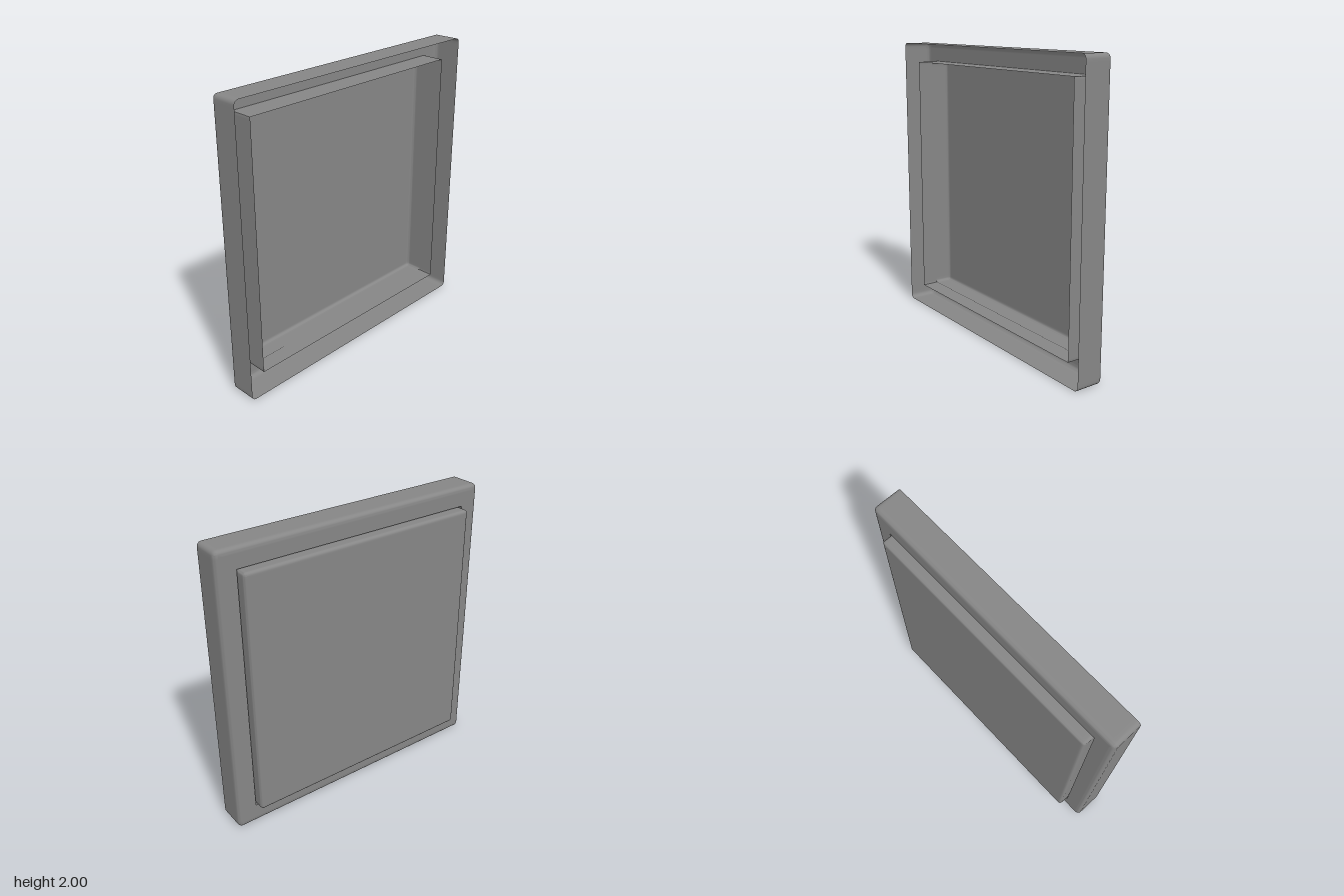
import * as THREE from 'three';
import { toCreasedNormals } from 'three/addons/utils/BufferGeometryUtils.js';

const ARC = 6; // segments per rounded corner
const SHARP = 0.001; // corner radius of a square corner

// Rounded square in the z-y plane; every ring has the same point count
function ring(x, half, radius) {
  const pts = [];
  const guard = Math.min(0.02, half / 2); // keeps the flat sides evenly shaded
  const c = half - radius;
  for (let k = 0; k < 4; k++) {
    const corner = [[half, c - guard]];
    for (let i = 0; i <= ARC; i++) {
      const a = (i / ARC) * Math.PI / 2;
      corner.push([c + radius * Math.cos(a), c + radius * Math.sin(a)]);
    }
    corner.push([c - guard, half]);
    // Quarter turns
    const co = [1, 0, -1, 0][k], si = [0, 1, 0, -1][k];
    for (const [z, y] of corner) {
      pts.push(new THREE.Vector3(x, z * si + y * co, z * co - y * si));
    }
  }
  return pts;
}

// Skin between successive rings
function loft(rings) {
  const n = rings[0].length;
  const index = [];
  for (let r = 0; r < rings.length - 1; r++) {
    for (let j = 0; j < n; j++) {
      const k = (j + 1) % n;
      const a = r * n + j, b = r * n + k, c = a + n, d = b + n;
      index.push(a, b, c, b, d, c);
    }
  }
  const geo = new THREE.BufferGeometry().setFromPoints(rings.flat());
  geo.setIndex(index);
  return toCreasedNormals(geo, 0.6);
}

// Side wall that rolls over a fillet onto the flat face at xFace
function wallAndFillet(xOpen, xFace, half, fillet) {
  const rings = [ring(xOpen, half, fillet), ring(xFace + fillet + 0.01, half, fillet)];
  for (let i = 0; i <= ARC; i++) {
    const a = (i / ARC) * Math.PI / 2;
    const inset = fillet * (1 - Math.cos(a));
    rings.push(ring(xFace + fillet * (1 - Math.sin(a)), half - inset,
      Math.max(fillet - inset, SHARP)));
  }
  rings.push(ring(xFace, half - fillet - 0.01, SHARP));
  return rings;
}

export function createModel() {
  const group = new THREE.Group();
  const material = new THREE.MeshStandardMaterial({ color: 0x868686, side: THREE.DoubleSide });
  const add = (name, rings) => {
    const mesh = new THREE.Mesh(loft(rings), material);
    mesh.name = name;
    mesh.position.y = 1;
    group.add(mesh);
  };

  // Hollow surround: outer wall, flat border, inner wall of the opening
  const hole = 0.866;
  add('frame', [
    ...wallAndFillet(0.135, -0.065, 1, 0.03),
    ring(-0.065, hole, SHARP),
    ring(0.098, hole, SHARP),
  ]);

  // Thin raised panel with short side walls, sitting loose in the opening
  add('panel', [
    ...wallAndFillet(-0.01, -0.135, 0.86, 0.02),
    ring(-0.135, 0, 0),
  ]);

  return group;
}
